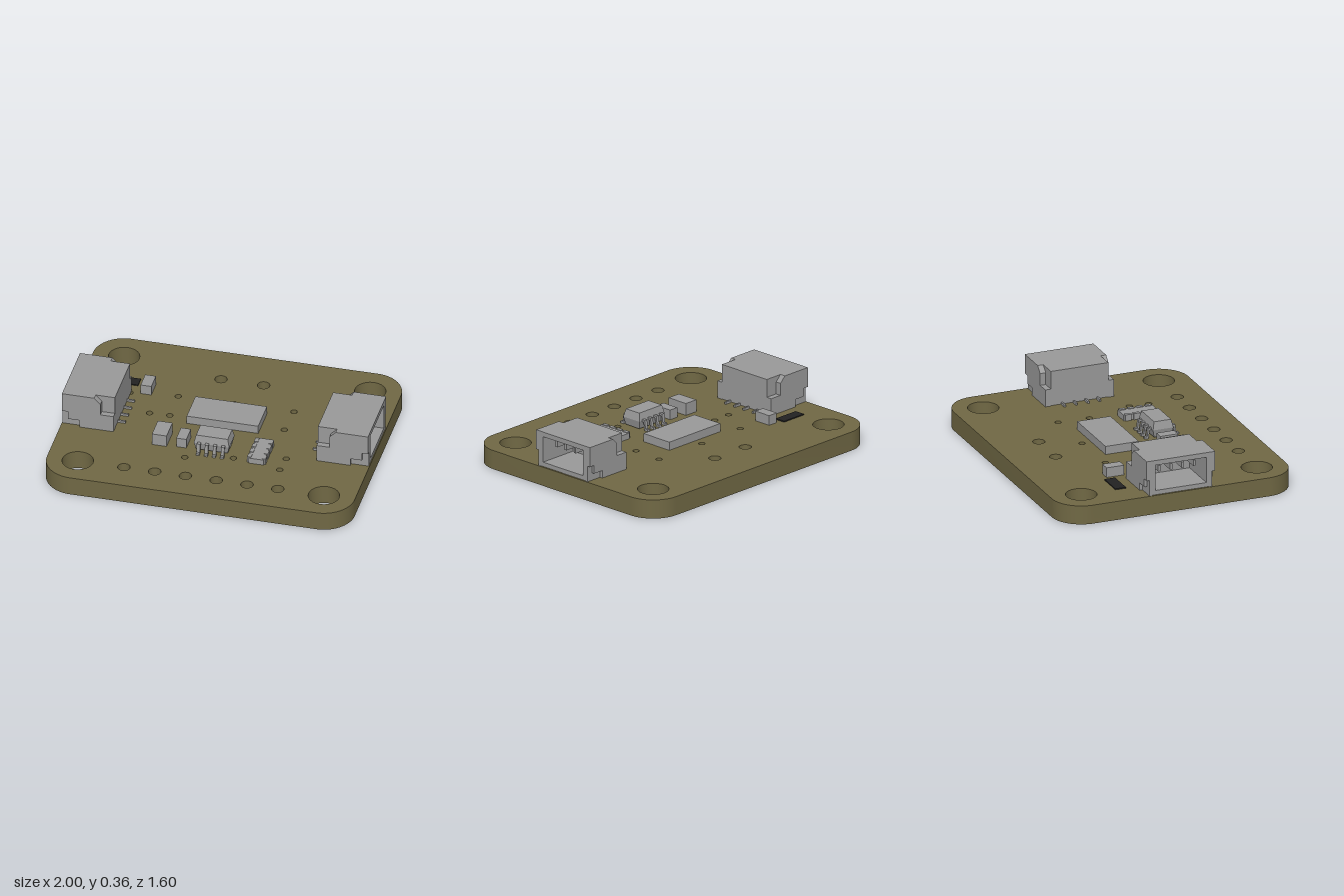
import * as THREE from 'three';
import { toCreasedNormals } from 'three/addons/utils/BufferGeometryUtils.js';

const TOP = 0.125; // upper face of the board

function material(name, color) {
  const m = new THREE.MeshStandardMaterial({ color });
  m.name = name;
  return m;
}

function polygon(points) {
  return new THREE.Shape(points.map(([x, y]) => new THREE.Vector2(x, y)));
}

function extrude(shape, depth) {
  return new THREE.ExtrudeGeometry(shape, { depth, bevelEnabled: false, curveSegments: 12 });
}

function add(parent, name, geometry, mat) {
  const mesh = new THREE.Mesh(geometry, mat);
  mesh.name = name;
  parent.add(mesh);
  return mesh;
}

// Box given by its limits on each axis
function block(parent, name, [x0, x1], [y0, y1], [z0, z1], mat) {
  const g = new THREE.BoxGeometry(x1 - x0, y1 - y0, z1 - z0);
  g.translate((x0 + x1) / 2, (y0 + y1) / 2, (z0 + z1) / 2);
  return add(parent, name, g, mat);
}

// Rounded plate with mounting holes, header holes and vias
function makeBoard(parent, mat) {
  const s = new THREE.Shape();
  const w = 1, d = 0.8, r = 0.2;
  s.moveTo(-w + r, -d);
  s.absarc(w - r, -d + r, r, -Math.PI / 2, 0);
  s.absarc(w - r, d - r, r, 0, Math.PI / 2);
  s.absarc(-w + r, d - r, r, Math.PI / 2, Math.PI);
  s.absarc(-w + r, -d + r, r, Math.PI, Math.PI * 1.5);
  const hole = (x, z, radius) => {
    const p = new THREE.Path();
    p.absarc(x, -z, radius, 0, Math.PI * 2, true);
    s.holes.push(p);
  };
  for (const x of [-0.8, 0.8]) for (const z of [-0.6, 0.6]) hole(x, z, 0.1);
  for (let i = 0; i < 6; i++) hole(-0.5 + i * 0.2, 0.6, 0.04);
  hole(-0.145, -0.5, 0.04);
  hole(0.132, -0.5, 0.04);
  const vias = [
    [-0.36, -0.25], [0, -0.26], [0.39, -0.26], [-0.49, -0.025], [-0.36, -0.03], [0.38, -0.05],
    [0.47, 0.26], [0.46, 0.39], [0.145, 0.335], [-0.155, 0.4], [-0.665, -0.215],
    [0.9, 0.01], [0.72, 0.04], [0.05, 0.02], [0.07, -0.153], [-0.72, 0.124], [-0.713, 0.032],
  ];
  for (const [x, z] of vias) hole(x, z, 0.021);
  const g = toCreasedNormals(extrude(s, TOP).rotateX(-Math.PI / 2), 0.6);
  add(parent, 'board', g, mat);
}

// Side-entry socket with its mouth towards +x
function makeSocket(mat) {
  const socket = new THREE.Group();
  const x0 = 0.66, x1 = 0.995, y0 = 0.128, y1 = 0.36, half = 0.196;

  // Hollow shell and its back wall
  const shell = polygon([[-half, y0], [half, y0], [half, y1], [-half, y1]]);
  shell.holes.push(polygon([[-0.174, 0.157], [-0.174, 0.328], [0.174, 0.328], [0.174, 0.157]]));
  const shellGeo = extrude(shell, x1 - 0.72).rotateY(Math.PI / 2).translate(0.72, 0, 0);
  add(socket, 'socketShell', shellGeo, mat);
  block(socket, 'socketBack', [x0, 0.72], [y0, y1], [-half, half], mat);

  // Cheeks: both layers are notched at the upper back, the outer one at the lower front too
  const upper = [[x1, y1], [0.785, y1], [0.745, 0.32], [0.745, 0.24], [x0, 0.24], [x0, TOP]];
  const inner = polygon([...upper, [x1, TOP]]);
  const outer = polygon([...upper, [0.88, TOP], [0.88, 0.175], [0.955, 0.175], [0.955, 0.23], [x1, 0.23]]);
  for (const side of [-1, 1]) {
    const a = extrude(inner, 0.018).translate(0, 0, side > 0 ? half : -half - 0.018);
    const b = extrude(outer, 0.02).translate(0, 0, side > 0 ? 0.214 : -0.234);
    add(socket, 'socketInnerCheek', a, mat);
    add(socket, 'socketOuterCheek', b, mat);
  }

  // Contacts inside and solder tails behind
  for (let i = 0; i < 4; i++) {
    const z = -0.12 + i * 0.08;
    block(socket, 'socketContact', [0.72, 0.93], [0.255, 0.295], [z - 0.008, z + 0.008], mat);
    block(socket, 'socketTail', [0.61, x0], [TOP, 0.14], [z - 0.006, z + 0.006], mat);
  }
  return socket;
}

// Small chip with bevelled body and bent legs
function makeLeggedChip(mat) {
  const chip = new THREE.Group();
  chip.name = 'leggedChip';
  const body = new THREE.BoxGeometry(0.23, 0.105, 0.14, 1, 2, 1);
  const p = body.attributes.position;
  for (let i = 0; i < p.count; i++) {
    if (Math.abs(p.getY(i)) > 0.01) {
      p.setX(i, p.getX(i) - Math.sign(p.getX(i)) * 0.012);
      p.setZ(i, p.getZ(i) - Math.sign(p.getZ(i)) * 0.012);
    }
  }
  const flat = body.toNonIndexed();
  flat.computeVertexNormals();
  add(chip, 'chipBody', flat.translate(0, 0.1875, 0), mat);

  // Leg outline in z and y, extruded across its width
  const leg = polygon([
    [0.06, 0.182], [0.082, 0.182], [0.09, 0.126], [0.117, 0.126],
    [0.117, 0.14], [0.1, 0.14], [0.092, 0.196], [0.06, 0.196],
  ]);
  const w = 0.022;
  const legGeo = extrude(leg, w).rotateY(-Math.PI / 2).translate(w / 2, 0, 0);
  for (let i = 0; i < 4; i++) {
    for (const turn of [0, Math.PI]) {
      const m = add(chip, 'chipLeg', legGeo, mat);
      m.position.x = -0.079 + i * 0.0525;
      m.rotation.y = turn;
    }
  }
  chip.position.set(-0.002, 0, 0.247);
  return chip;
}

// Four-element resistor array with end terminals
function makeArray(mat) {
  const array = new THREE.Group();
  array.name = 'resistorArray';
  block(array, 'arrayBody', [0.25, 0.35], [TOP, 0.163], [0.13, 0.365], mat);
  for (let i = 0; i < 4; i++) {
    const z = 0.13 + (i + 0.5) * 0.05875;
    for (const x of [0.24, 0.335]) {
      block(array, 'arrayTerminal', [x, x + 0.025], [TOP, 0.167], [z - 0.021, z + 0.021], mat);
    }
  }
  return array;
}

export function createModel() {
  const olive = material('olive board', 0x706844);
  const grey = material('component grey', 0x999999);
  const black = material('black', 0x222222);

  const model = new THREE.Group();
  model.name = 'circuitBoard';
  makeBoard(model, olive);

  const left = makeSocket(grey);
  left.name = 'leftSocket';
  const right = makeSocket(grey);
  right.name = 'rightSocket';
  right.rotation.y = Math.PI;
  model.add(left, right, makeLeggedChip(grey), makeArray(grey));

  // Plain block components
  block(model, 'mainChip', [-0.235, 0.23], [TOP, 0.18], [-0.197, 0.03], grey);
  block(model, 'largeCapacitor', [-0.39, -0.295], [TOP, 0.205], [0.16, 0.312], grey);
  block(model, 'smallCapacitor', [-0.235, -0.17], [TOP, 0.19], [0.178, 0.298], grey);
  block(model, 'rearCapacitor', [-0.598, -0.528], [TOP, 0.19], [-0.342, -0.222], grey);
  block(model, 'blackPlate', [-0.814, -0.634], [TOP, 0.132], [-0.372, -0.3], black);
  return model;
}
